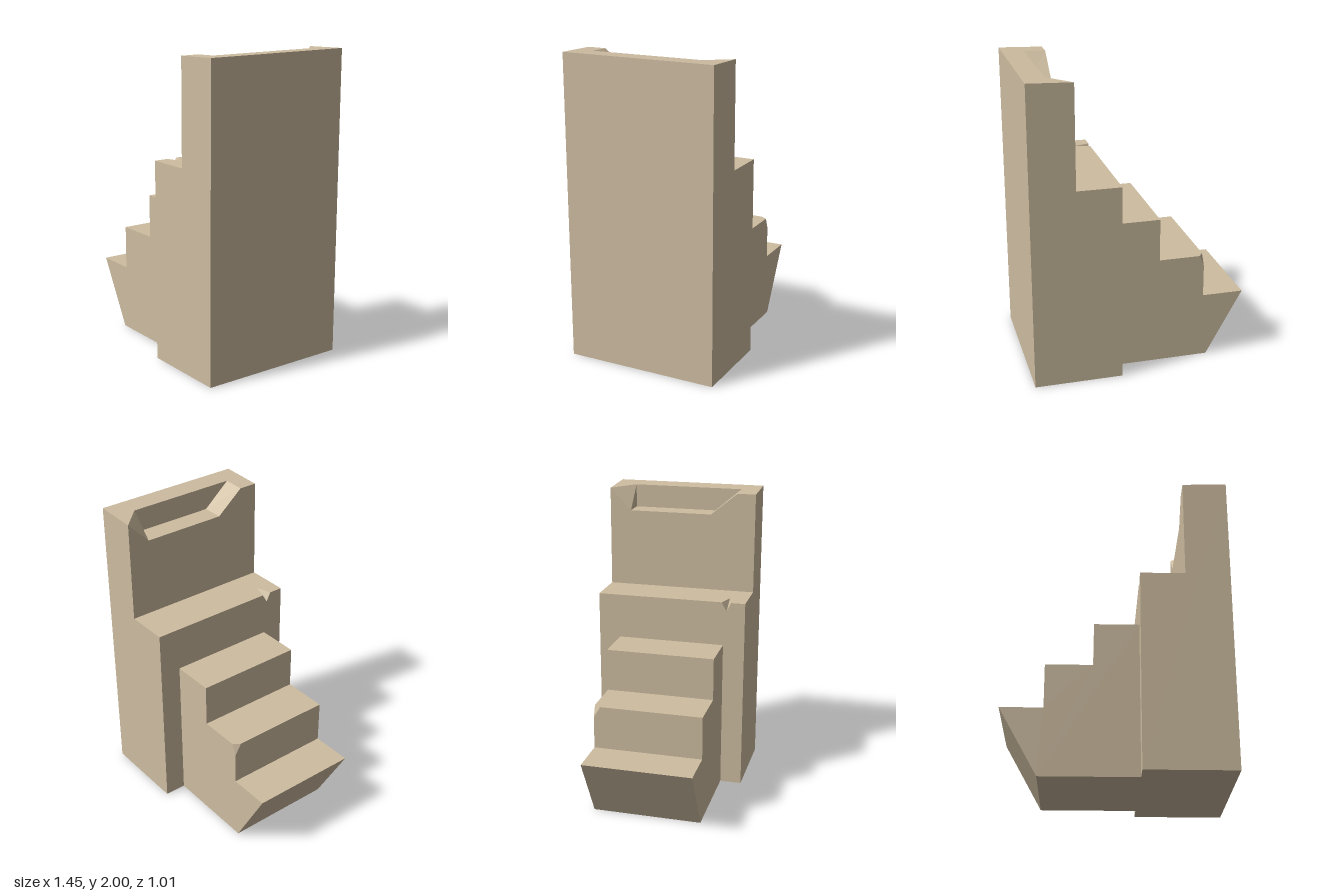
import * as THREE from 'three';

// Flat polygon (counter-clockwise from outside) appended as triangles
function addFace(out, pts) {
  const n = new THREE.Vector3();
  pts.forEach((p, i) => {
    const q = pts[(i + 1) % pts.length];
    n.x += (p[1] - q[1]) * (p[2] + q[2]);
    n.y += (p[2] - q[2]) * (p[0] + q[0]);
    n.z += (p[0] - q[0]) * (p[1] + q[1]);
  });
  const size = n.toArray().map(Math.abs);
  const drop = size.indexOf(Math.max(...size));
  const flat = pts.map((p) => new THREE.Vector2(...p.filter((_, k) => k !== drop)));
  for (const t of THREE.ShapeUtils.triangulateShape(flat, [])) {
    const [a, b, c] = t.map((i) => new THREE.Vector3(...pts[i]));
    const m = b.clone().sub(a).cross(c.clone().sub(a));
    for (const v of m.dot(n) >= 0 ? [a, b, c] : [a, c, b]) out.push(v.x, v.y, v.z);
  }
}

// Prism along z; sides, back and extra faces can be swapped for notched ones
function notchedPrism(profile, zF, zB, { sides = {}, back, extra = [] }) {
  const out = [];
  const F = profile.map(([x, y]) => [x, y, zF]);
  const B = profile.map(([x, y]) => [x, y, zB]);
  addFace(out, F);
  addFace(out, back ? back(B) : [...B].reverse());
  profile.forEach((_, i) => {
    const j = (i + 1) % profile.length;
    if (sides[i] !== null) addFace(out, sides[i] ? sides[i](F, B) : [F[i], B[i], B[j], F[j]]);
  });
  extra.forEach((f) => addFace(out, f));
  const g = new THREE.BufferGeometry();
  g.setAttribute('position', new THREE.Float32BufferAttribute(out, 3));
  g.computeVertexNormals();
  return g;
}

function towerGeometry() {
  const profile = [[0.145, 0], [0.725, 0], [0.725, 2], [0.435, 1.99], [0.435, 1.315], [0.145, 1.315]];
  const zB = -0.51;
  // Large notch along the top edge
  const A = [0.435, 1.99, zB], B1 = [0.58, 1.995, -0.365], C = [0.435, 1.84, -0.365], D = [0.58, 1.84, -0.365];
  const E = [0.58, 1.995, 0.38], G = [0.435, 1.99, 0.38], H = [0.435, 1.84, 0.2], I = [0.58, 1.84, 0.2];
  // Small chip in the ledge
  const P1 = [0.145, 1.315, 0.345], P2 = [0.145, 1.315, 0.41], Q = [0.145, 1.255, 0.38], R = [0.25, 1.315, 0.38];
  return notchedPrism(profile, 0.505, zB, {
    sides: {
      2: (F, B) => [F[2], B[2], A, B1, E, G, F[3]],
      3: (F, B) => [F[3], G, H, C, A, B[4], F[4]],
      4: (F, B) => [F[4], B[4], B[5], P1, R, P2, F[5]],
      5: (F, B) => [F[5], P2, Q, P1, B[5], B[0], F[0]],
    },
    extra: [[A, C, B1], [B1, C, D], [C, H, I, D], [D, I, E, B1], [H, G, E, I], [P1, Q, R], [P2, R, Q]],
  });
}

function stepsGeometry() {
  const profile = [[-0.48, 0], [0.145, 0], [0.145, 1.015], [-0.145, 1.015],
    [-0.145, 0.73], [-0.45, 0.73], [-0.45, 0.44], [-0.725, 0.44]];
  // Chipped back corner of the middle step
  const S = [-0.45, 0.73, -0.32], T = [-0.42, 0.73, -0.365], U = [-0.45, 0.655, -0.365];
  return notchedPrism(profile, 0.36, -0.365, {
    sides: {
      1: null, // joins the tower
      4: (F, B) => [F[4], B[4], T, S, F[5]],
      5: (F, B) => [F[5], S, U, B[6], F[6]],
    },
    back: (B) => [B[7], B[6], U, T, B[4], B[3], B[2], B[1], B[0]],
    extra: [[S, T, U]],
  });
}

export function createModel() {
  const stone = new THREE.MeshStandardMaterial({ color: 0xcdbca0 });
  stone.name = 'sandstone';
  const group = new THREE.Group();
  group.name = 'steppedStone';
  const parts = { tower: towerGeometry(), steps: stepsGeometry() };
  for (const [name, geometry] of Object.entries(parts)) {
    const mesh = new THREE.Mesh(geometry, stone);
    mesh.name = name;
    group.add(mesh);
  }
  return group;
}
